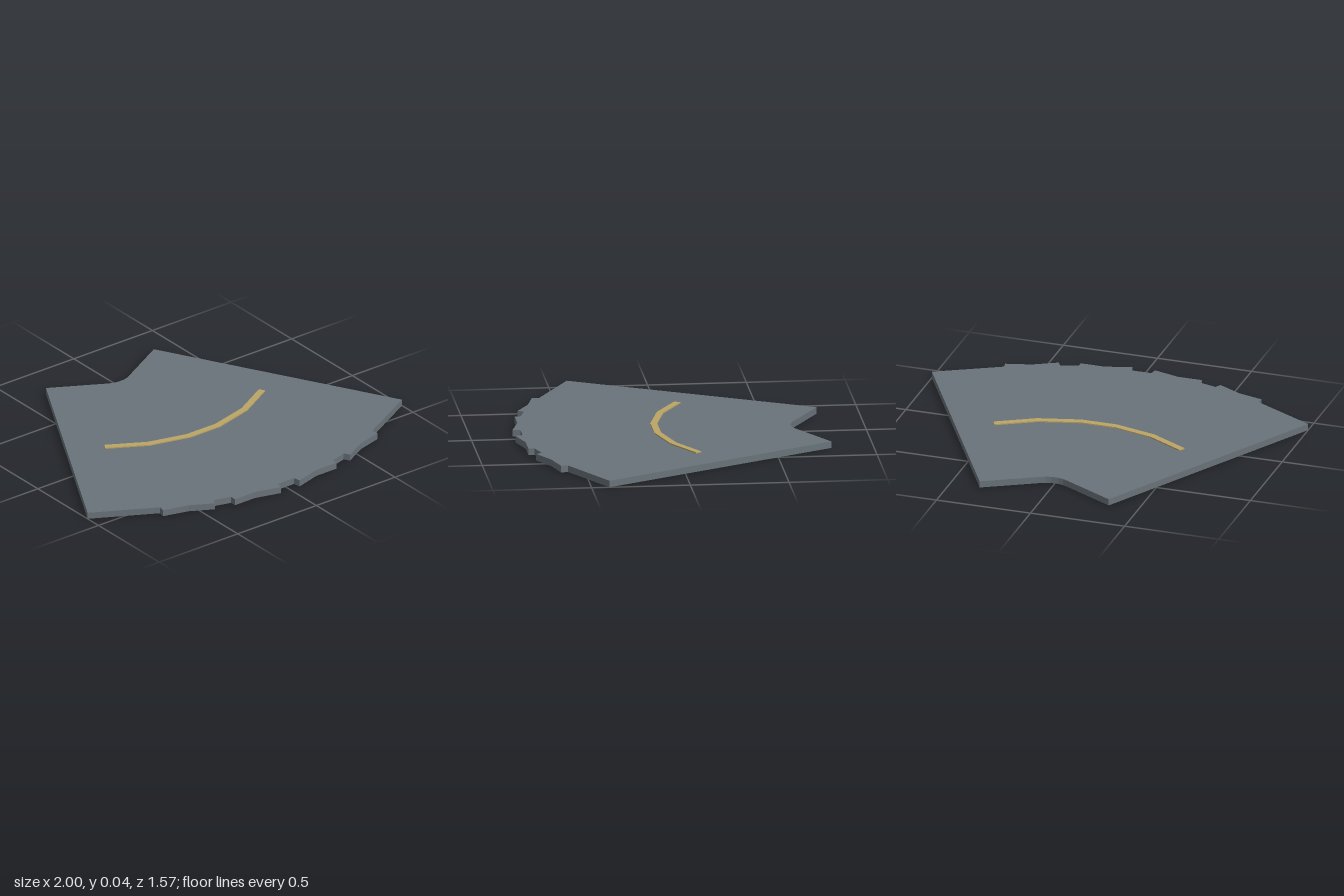
import * as THREE from 'three';

const THICKNESS = 0.034;
const STRIPE_HEIGHT = 0.006;

// Right half of the slab outline as [x, z], from the back notch round to the broken front edge
const HALF_OUTLINE = [
  [0.02, -0.617], [0.045, -0.623], [0.07, -0.635], [0.343, -0.785], [1, 0.41],
  [0.675, 0.585], [0.682, 0.62], [0.55, 0.655], [0.43, 0.72], [0.413, 0.69],
  [0.323, 0.715], [0.323, 0.747], [0.195, 0.747], [0.06, 0.785], [0.052, 0.747],
];

// Centre line of the lane marking, right half
const STRIPE_PATH = [[0, 0.067], [0.093, 0.067], [0.306, 0.012], [0.494, -0.093]];

export function createModel() {
  const group = new THREE.Group();
  const asphalt = new THREE.MeshStandardMaterial({ color: 0x69737a });
  asphalt.name = 'slate grey';
  const paint = new THREE.MeshStandardMaterial({ color: 0xbba566 });
  paint.name = 'sand yellow';

  // Curved slab with a notched back and a ragged front edge
  const mirrored = HALF_OUTLINE.map(([x, z]) => [-x, z]).reverse();
  const shape = new THREE.Shape([...HALF_OUTLINE, ...mirrored].map(([x, z]) => new THREE.Vector2(x, z)));
  const slabGeometry = new THREE.ExtrudeGeometry(shape, { depth: THICKNESS, bevelEnabled: false });
  slabGeometry.rotateX(Math.PI / 2).translate(0, THICKNESS, 0);
  const slab = new THREE.Mesh(slabGeometry, asphalt);
  slab.name = 'roadSlab';
  group.add(slab);

  // Raised lane marking made of straight strips along a bend
  const stripe = new THREE.Group();
  stripe.name = 'laneStripe';
  const path = [...STRIPE_PATH.slice(1).map(([x, z]) => [-x, z]).reverse(), ...STRIPE_PATH.slice(1)];
  for (let i = 0; i < path.length - 1; i++) {
    const [x0, z0] = path[i];
    const [x1, z1] = path[i + 1];
    const length = Math.hypot(x1 - x0, z1 - z0) + 0.014;
    const strip = new THREE.Mesh(new THREE.BoxGeometry(length, STRIPE_HEIGHT, 0.034), paint);
    strip.name = 'stripeSegment';
    strip.position.set((x0 + x1) / 2, THICKNESS + STRIPE_HEIGHT / 2, (z0 + z1) / 2);
    strip.rotation.y = -Math.atan2(z1 - z0, x1 - x0);
    stripe.add(strip);
  }
  group.add(stripe);
  return group;
}
